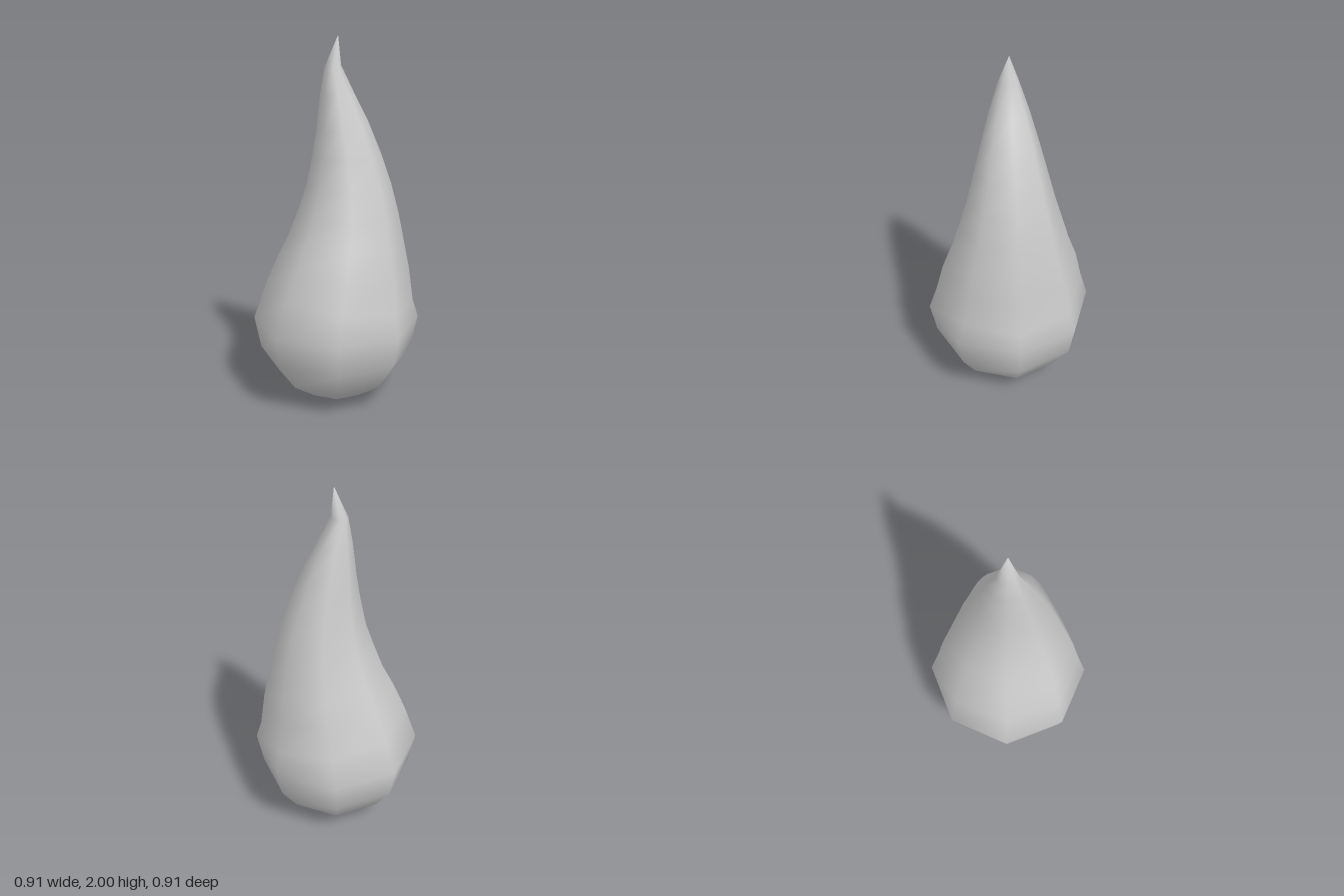
import * as THREE from 'three';

const SIDES = 8;
const R = 0.455;

// Rings, bottom to top: [left x, left y, right x, right y, half depth]
const roundBase = [1, 2, 3].map((i) => {
  const a = (i * Math.PI) / 8;
  const r = R * Math.sin(a), y = R * (1 - Math.cos(a));
  return [-r, y, r, y, r];
});
const taperingBody = [
  [-0.455, 0.455, 0.455, 0.455, 0.455],
  [-0.385, 0.66, 0.425, 0.555, 0.41],
  [-0.317, 0.82, 0.4, 0.74, 0.37],
  [-0.253, 0.945, 0.37, 0.89, 0.32],
  [-0.2, 1.09, 0.338, 1.05, 0.275],
  [-0.158, 1.215, 0.295, 1.215, 0.232],
  [-0.127, 1.37, 0.237, 1.385, 0.19],
  [-0.105, 1.51, 0.17, 1.55, 0.15],
  [-0.085, 1.69, 0.1, 1.69, 0.105],
  [-0.06, 1.837, 0.026, 1.845, 0.056],
];

// Skin of tilted octagonal rings, closed by a point at each end
function dropGeometry(rings, bottom, tip) {
  const points = [...bottom];
  for (const [x0, y0, x1, y1, depth] of rings) {
    for (let j = 0; j < SIDES; j++) {
      const a = (j / SIDES) * Math.PI * 2;
      const t = (1 + Math.cos(a)) / 2;
      points.push(x0 + (x1 - x0) * t, y0 + (y1 - y0) * t, depth * Math.sin(a));
    }
  }
  points.push(...tip);

  const at = (i, j) => 1 + i * SIDES + (j % SIDES);
  const last = rings.length - 1;
  const tipIndex = 1 + rings.length * SIDES;
  const index = [];
  for (let j = 0; j < SIDES; j++) {
    index.push(0, at(0, j), at(0, j + 1));
    for (let i = 0; i < last; i++) {
      index.push(at(i, j), at(i + 1, j), at(i, j + 1));
      index.push(at(i + 1, j), at(i + 1, j + 1), at(i, j + 1));
    }
    index.push(at(last, j), tipIndex, at(last, j + 1));
  }

  const geometry = new THREE.BufferGeometry();
  geometry.setAttribute('position', new THREE.Float32BufferAttribute(points, 3));
  geometry.setIndex(index);
  geometry.computeVertexNormals();
  return geometry;
}

export function createModel() {
  const group = new THREE.Group();
  group.name = 'teardrop';
  const material = new THREE.MeshStandardMaterial({ color: 0xcccccc });

  // Round-bottomed drop with a tip that curls to one side
  const drop = new THREE.Mesh(
    dropGeometry([...roundBase, ...taperingBody], [0, 0, 0], [0.01, 2, 0]),
    material
  );
  drop.name = 'drop';
  group.add(drop);
  return group;
}
